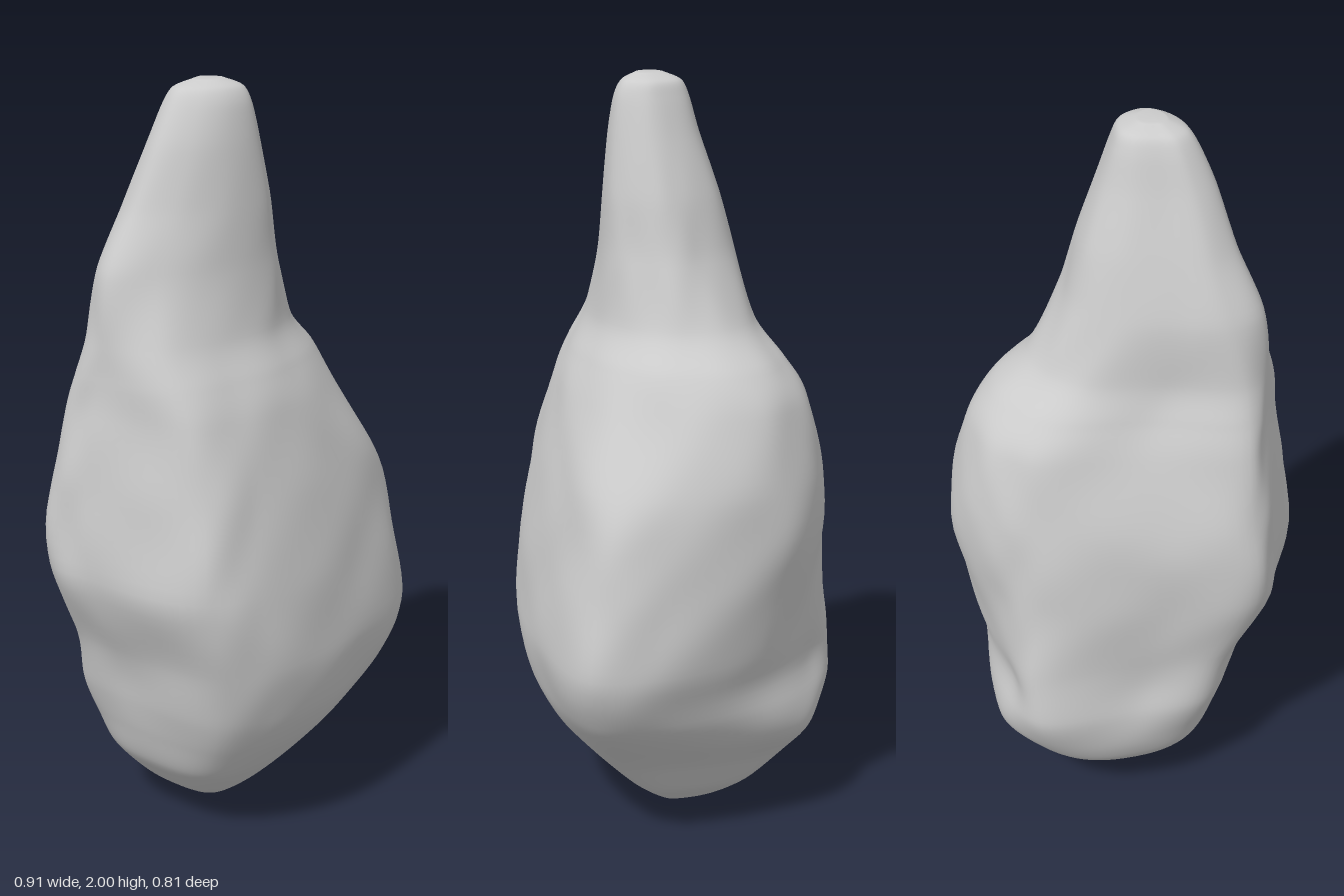
import * as THREE from 'three';

// Section outlines [x, z], seen from above
const FOOT = [[-0.3, -0.02], [-0.26, -0.18], [-0.12, -0.29], [0.08, -0.35], [0.24, -0.29], [0.285, -0.17],
  [0.29, 0.05], [0.24, 0.23], [0.05, 0.3], [-0.18, 0.28], [-0.28, 0.2]];
const BASE = [[-0.37, -0.03], [-0.34, -0.2], [-0.15, -0.28], [0.12, -0.405], [0.22, -0.31], [0.36, -0.12],
  [0.445, 0.16], [0.41, 0.34], [0.1, 0.405], [-0.22, 0.385], [-0.36, 0.28]];
const BODY = [[-0.44, -0.06], [-0.42, -0.2], [-0.2, -0.275], [0.1, -0.345], [0.25, -0.32], [0.4, -0.17],
  [0.43, 0.1], [0.37, 0.28], [0.1, 0.345], [-0.24, 0.33], [-0.385, 0.265]];
const SHOULDER = [[-0.4, -0.05], [-0.38, -0.16], [-0.12, -0.22], [0.13, -0.3], [0.27, -0.25], [0.36, -0.12],
  [0.34, 0.06], [0.21, 0.22], [0, 0.28], [-0.2, 0.265], [-0.36, 0.2]];
const SPIRE = [[-0.38, -0.03], [-0.32, -0.12], [-0.2, -0.15], [-0.04, -0.17], [0.07, -0.13], [0.13, -0.03],
  [0.14, 0.06], [0.08, 0.14], [0, 0.18], [-0.17, 0.16], [-0.31, 0.08]];

// Extents by height: y, xMin, xMax, zMin, zMax
const LEVELS = [
  [0, 0, 0.01, -0.01, 0], [0.03, -0.075, 0.07, -0.12, 0.06], [0.1, -0.18, 0.16, -0.21, 0.15],
  [0.2, -0.27, 0.23, -0.31, 0.25], [0.3, -0.31, 0.32, -0.37, 0.33], [0.4, -0.34, 0.39, -0.405, 0.38],
  [0.55, -0.375, 0.45, -0.395, 0.41], [0.76, -0.45, 0.45, -0.37, 0.39], [1, -0.435, 0.43, -0.35, 0.345],
  [1.2, -0.405, 0.37, -0.31, 0.29], [1.29, -0.4, 0.315, -0.26, 0.25], [1.38, -0.395, 0.225, -0.205, 0.205],
  [1.55, -0.375, 0.15, -0.17, 0.18], [1.7, -0.3, 0.11, -0.13, 0.17], [1.85, -0.24, 0.06, -0.08, 0.155],
  [1.94, -0.195, 0.03, -0.055, 0.14], [1.98, -0.165, 0.01, -0.035, 0.12], [2, -0.11, -0.04, 0.01, 0.08],
];

const AROUND = 96;
const UP = 120;

// Smooth closed outline through the section points
function outline(points) {
  const curve = new THREE.CatmullRomCurve3(points.map(([x, z]) => new THREE.Vector3(x, 0, z)), true, 'centripetal');
  return Array.from({ length: AROUND }, (_, i) => curve.getPoint(i / AROUND));
}

// Smooth curve of two extents against height
function extents(a, b) {
  return new THREE.CatmullRomCurve3(LEVELS.map(l => new THREE.Vector3(l[0], l[a], l[b])), false, 'catmullrom', 0.4);
}

function rockGeometry() {
  const foot = outline(FOOT);
  // Each further outline takes over between two heights
  const stages = [[BASE, 0.25, 0.5], [BODY, 0.45, 0.95], [SHOULDER, 0.9, 1.25], [SPIRE, 1.2, 1.57]]
    .map(([points, from, to]) => ({ shape: outline(points), from, to }));
  const xRange = extents(1, 2), zRange = extents(3, 4);
  const positions = [], indices = [];

  for (let j = 0; j <= UP; j++) {
    const ex = xRange.getPoint(j / UP), ez = zRange.getPoint(j / UP);
    const y = ex.x;
    const ring = foot.map(p => p.clone());
    for (const { shape, from, to } of stages) {
      const t = THREE.MathUtils.smoothstep(y, from, to);
      ring.forEach((p, i) => p.lerp(shape[i], t));
    }
    const box = new THREE.Box3().setFromPoints(ring);
    const cx = (ex.y + ex.z) / 2, cz = (ez.y + ez.z) / 2;
    const fade = Math.sin(Math.PI * y / 2);

    ring.forEach((p, i) => {
      // Weathered lumps over the surface
      const a = i / AROUND * Math.PI * 2;
      const lump = 1 + fade * (0.008 * Math.sin(6 * a + 1) * Math.sin(13 * y)
        + 0.006 * Math.sin(11 * a + 2) * Math.sin(22 * y + 1));
      const x = THREE.MathUtils.mapLinear(p.x, box.min.x, box.max.x, ex.y, ex.z);
      const z = THREE.MathUtils.mapLinear(p.z, box.min.z, box.max.z, ez.y, ez.z);
      positions.push(cx + (x - cx) * lump, y, cz + (z - cz) * lump);
    });
  }

  for (let j = 0; j < UP; j++) {
    for (let i = 0; i < AROUND; i++) {
      const n = (i + 1) % AROUND;
      const a = j * AROUND + i, b = j * AROUND + n;
      indices.push(a, a + AROUND, b, b, a + AROUND, b + AROUND);
    }
  }

  // Close both ends
  const cap = (j, y, top) => {
    const l = LEVELS[top ? LEVELS.length - 1 : 0];
    const centre = positions.length / 3;
    positions.push((l[1] + l[2]) / 2, y, (l[3] + l[4]) / 2);
    for (let i = 0; i < AROUND; i++) {
      const a = j * AROUND + i, b = j * AROUND + (i + 1) % AROUND;
      if (top) indices.push(a, centre, b);
      else indices.push(a, b, centre);
    }
  };
  cap(0, 0, false);
  cap(UP, 2, true);

  const geometry = new THREE.BufferGeometry();
  geometry.setAttribute('position', new THREE.Float32BufferAttribute(positions, 3));
  geometry.setIndex(indices);
  geometry.computeVertexNormals();
  return geometry;
}

export function createModel() {
  const group = new THREE.Group();
  group.name = 'pointedRock';
  const rock = new THREE.Mesh(rockGeometry(), new THREE.MeshStandardMaterial({ color: 0xcccccc }));
  rock.name = 'rock';
  group.add(rock);
  return group;
}
